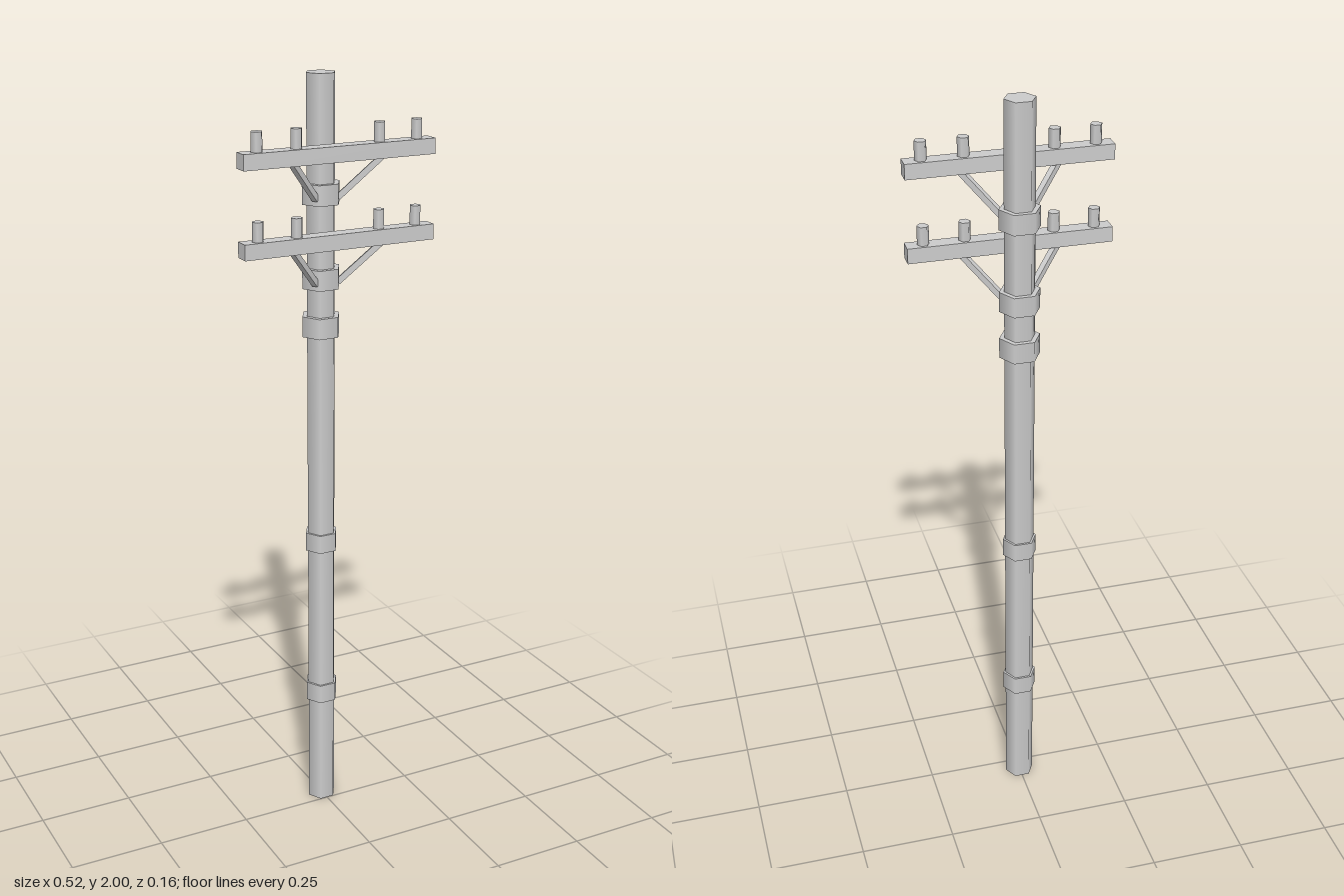
import * as THREE from 'three';

const POLE_Z = -0.035;
const ARM_Z = 0.059;

export function createModel() {
  const group = new THREE.Group();
  const material = new THREE.MeshStandardMaterial({ color: 0xcccccc });

  function add(name, geometry, x, y, z, parent = group) {
    const mesh = new THREE.Mesh(geometry, material);
    mesh.name = name;
    mesh.position.set(x, y, z);
    parent.add(mesh);
    return mesh;
  }

  // Six-sided post with corners on the x axis, from y0 to y1
  function hexPost(name, radius, y0, y1, x, z, parent) {
    const geometry = new THREE.CylinderGeometry(radius, radius, y1 - y0, 6);
    geometry.rotateY(Math.PI / 6);
    return add(name, geometry, x, (y0 + y1) / 2, z, parent);
  }

  // Square bar between two points
  function bar(name, a, b, size, parent) {
    const geometry = new THREE.BoxGeometry(size, size, a.distanceTo(b));
    const mid = a.clone().add(b).multiplyScalar(0.5);
    const mesh = add(name, geometry, mid.x, mid.y, mid.z, parent);
    mesh.lookAt(b);
  }

  // Pole
  hexPost('pole', 0.039, 0, 2, 0, POLE_Z);

  // Bands: wide one below the arms, narrower ones down the pole
  hexPost('upperBand', 0.052, 1.344, 1.397, 0, POLE_Z);
  hexPost('middleBand', 0.045, 0.754, 0.804, 0, POLE_Z);
  hexPost('lowerBand', 0.045, 0.307, 0.359, 0, POLE_Z);

  // Two crossarms, each with a band, two braces and four insulators
  for (const [name, y] of [['upperCrossarm', 1.8], ['lowerCrossarm', 1.587]]) {
    const arm = new THREE.Group();
    arm.name = name;
    group.add(arm);

    add('beam', new THREE.BoxGeometry(0.516, 0.039, 0.04), 0, y + 0.0195, ARM_Z, arm);
    hexPost('armBand', 0.052, y - 0.118, y - 0.066, 0, POLE_Z, arm);

    for (const side of [-1, 1]) {
      bar(
        'brace',
        new THREE.Vector3(side * 0.031, y - 0.1, -0.001),
        new THREE.Vector3(side * 0.124, y + 0.006, 0.06),
        0.015,
        arm
      );
      for (const x of [0.112, 0.215]) {
        hexPost('insulator', 0.015, y + 0.037, y + 0.087, side * x, ARM_Z, arm);
      }
    }
  }

  return group;
}
